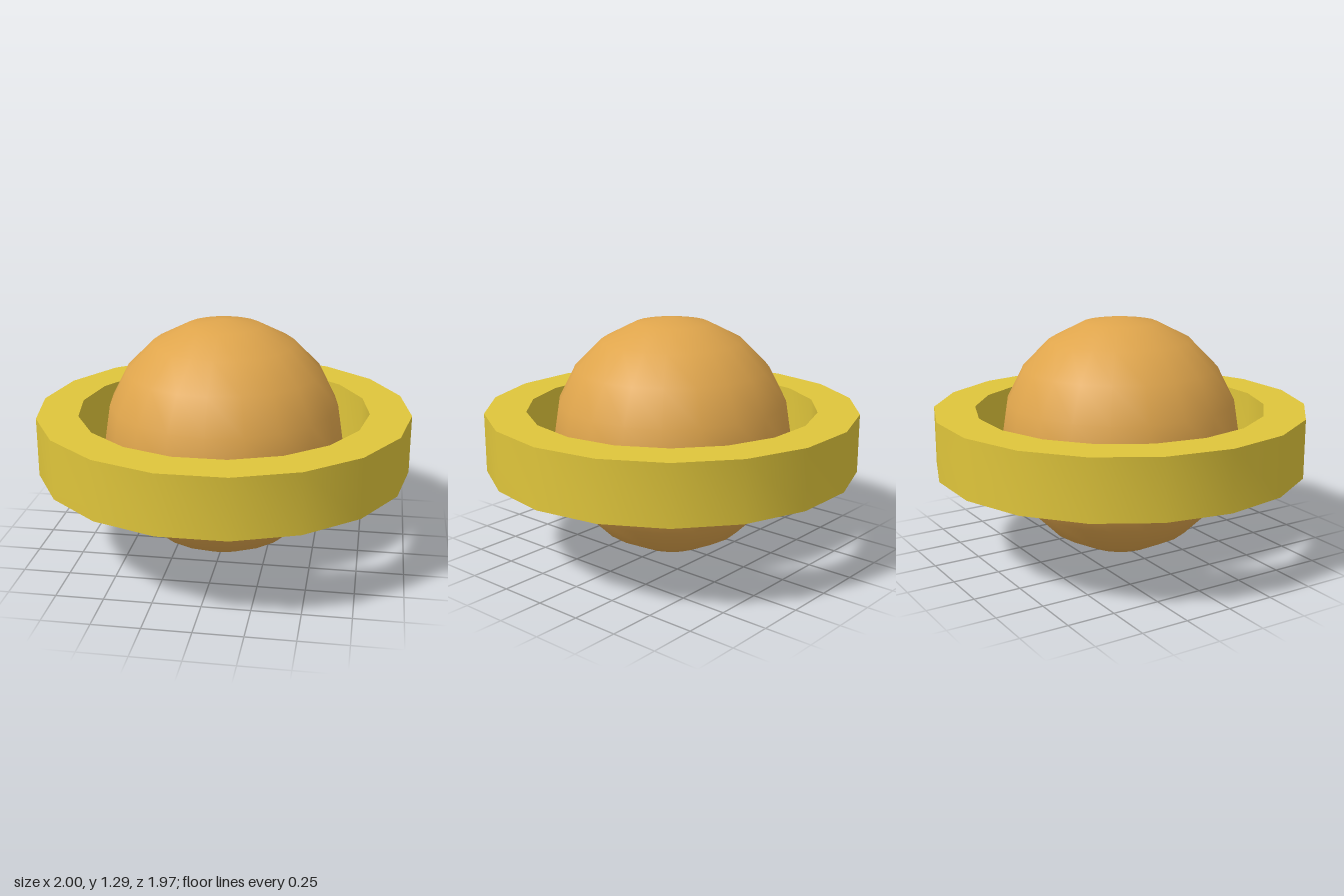
import * as THREE from 'three';
import { toCreasedNormals } from 'three/addons/utils/BufferGeometryUtils.js';

const RADIUS = 0.643; // globe radius, also the height of its centre

export function createModel() {
  const group = new THREE.Group();
  group.name = 'ringedPlanet';

  const orange = new THREE.MeshStandardMaterial({ name: 'planetOrange', color: 0xdfa54c });
  const gold = new THREE.MeshStandardMaterial({ name: 'ringGold', color: 0xdfc53b });

  // Smooth-shaded globe
  const globe = new THREE.Mesh(new THREE.SphereGeometry(RADIUS, 20, 10), orange);
  globe.name = 'globe';
  globe.position.y = RADIUS;
  group.add(globe);

  // 18-sided band: outer wall, top, inner wall, bottom
  const inner = 0.78, outer = 1, half = 0.158;
  const profile = [[outer, -half], [outer, half], [inner, half], [inner, -half], [outer, -half]]
    .map(([r, y]) => new THREE.Vector2(r, y));
  const bandGeometry = toCreasedNormals(new THREE.LatheGeometry(profile, 18), 0.7);
  const ring = new THREE.Mesh(bandGeometry, gold);
  ring.name = 'ring';
  ring.rotation.y = Math.PI / 2; // corners on the x axis
  ring.position.y = RADIUS;
  group.add(ring);

  return group;
}
